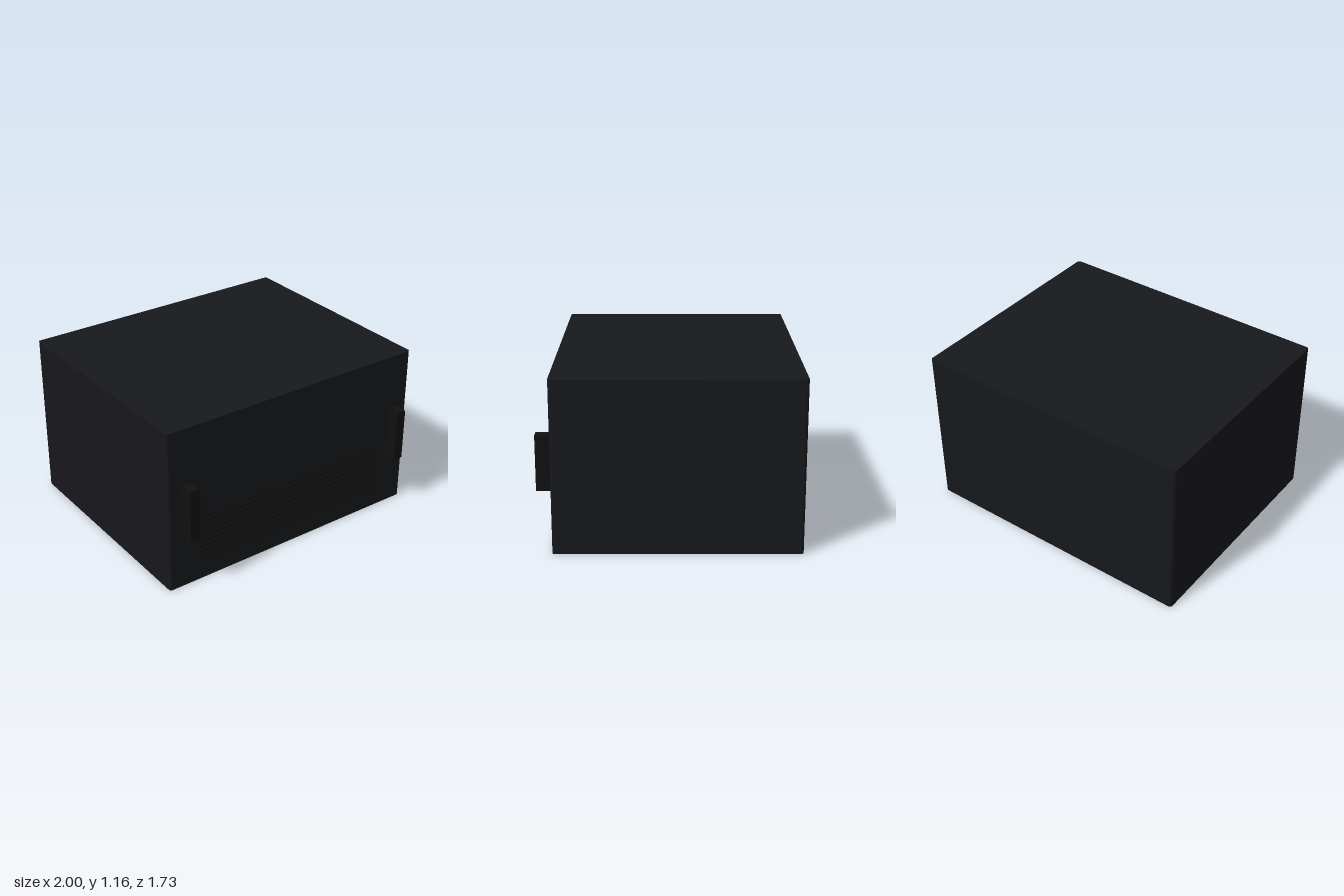
import * as THREE from 'three';

const bodyMat = new THREE.MeshStandardMaterial({ color: 0x17181c });
const trimMat = new THREE.MeshStandardMaterial({ color: 0x111111 });

function addBox(group, name, w, h, d, x, y, z) {
  const mesh = new THREE.Mesh(new THREE.BoxGeometry(w, h, d), trimMat);
  mesh.name = name;
  mesh.position.set(x, y, z);
  group.add(mesh);
}

// Rectangle centred on the origin with rounded corners
function roundedRect(w, d, r) {
  const x = w / 2, y = d / 2, s = new THREE.Shape();
  s.absarc(x - r, y - r, r, 0, Math.PI / 2);
  s.absarc(-x + r, y - r, r, Math.PI / 2, Math.PI);
  s.absarc(-x + r, -y + r, r, Math.PI, Math.PI * 1.5);
  s.absarc(x - r, -y + r, r, Math.PI * 1.5, Math.PI * 2);
  s.closePath();
  return s;
}

export function createModel() {
  const model = new THREE.Group();
  model.name = 'equipmentCase';

  // Cabinet with softly rounded upright edges
  const height = 1.165, front = 0.763, back = -0.865;
  const geo = new THREE.ExtrudeGeometry(roundedRect(2, front - back, 0.02), {
    depth: height, bevelEnabled: false, curveSegments: 5,
  });
  geo.rotateX(-Math.PI / 2);
  const cabinet = new THREE.Mesh(geo, bodyMat);
  cabinet.name = 'cabinet';
  cabinet.position.z = (front + back) / 2;
  model.add(cabinet);

  // Upright handles standing just clear of the front
  for (const side of [-1, 1]) {
    addBox(model, side > 0 ? 'leftHandle' : 'rightHandle', 0.073, 0.373, 0.093, side * 0.862, 0.585, 0.8185);
  }

  // Ventilation slats on the lower front
  const vent = new THREE.Group();
  vent.name = 'ventGrille';
  for (let i = 0; i < 10; i++) {
    addBox(vent, 'ventSlat', 1.535, 0.01, 0.012, 0, 0.146 + i * 0.0373, front);
  }
  model.add(vent);

  return model;
}
